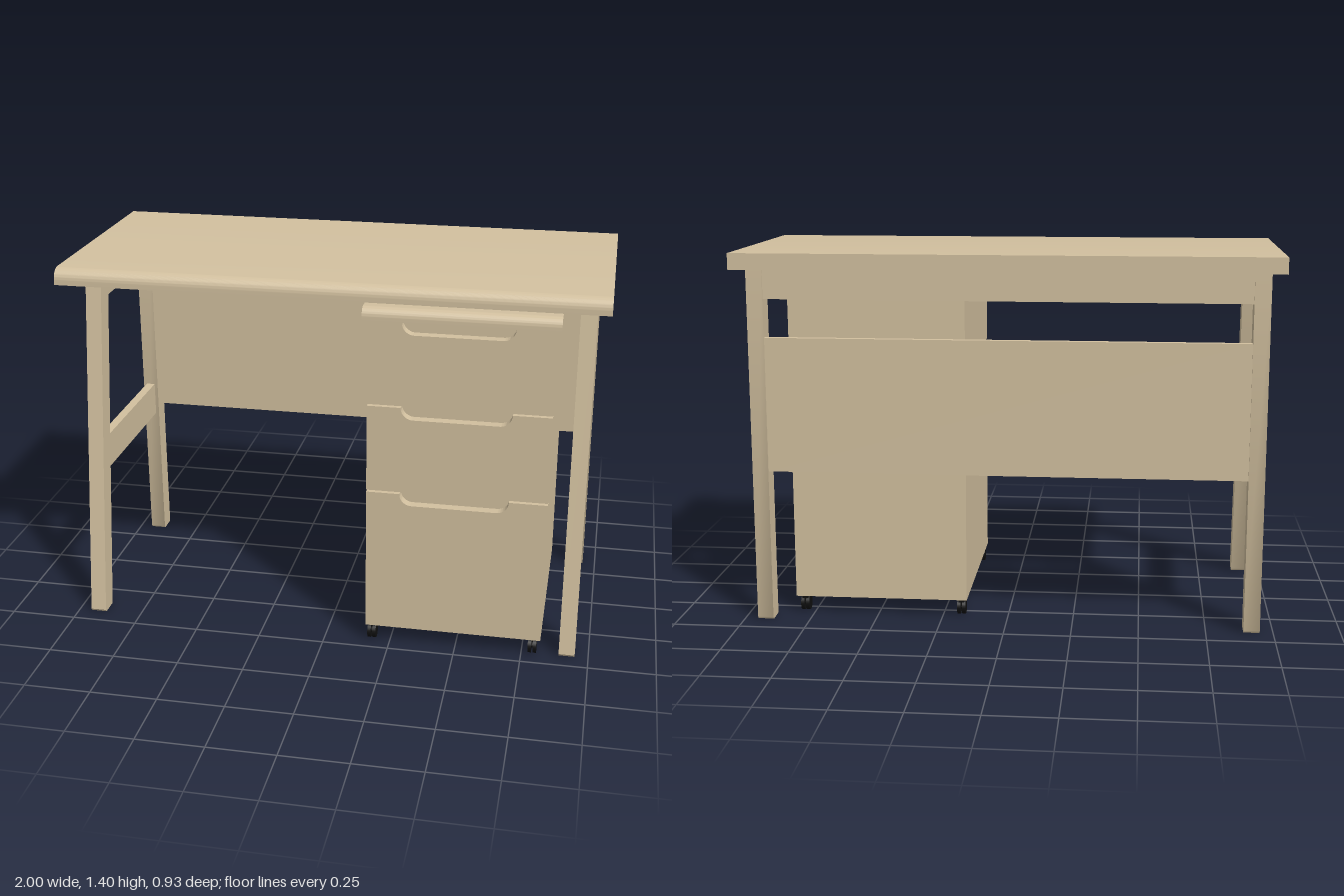
import * as THREE from 'three';
import { toCreasedNormals } from 'three/addons/utils/BufferGeometryUtils.js';

export function createModel() {
  const wood = new THREE.MeshStandardMaterial({ name: 'light oak', color: 0xd2c09f });
  const black = new THREE.MeshStandardMaterial({ name: 'caster black', color: 0x101010 });
  const model = new THREE.Group();
  model.name = 'deskWithDrawers';

  const add = (parent, name, geometry, material = wood) => {
    const mesh = new THREE.Mesh(geometry, material);
    mesh.name = name;
    parent.add(mesh);
    return mesh;
  };

  // Box given by its limits
  const box = (parent, name, x0, x1, y0, y1, z0, z1) =>
    add(parent, name, new THREE.BoxGeometry(x1 - x0, y1 - y0, z1 - z0))
      .position.set((x0 + x1) / 2, (y0 + y1) / 2, (z0 + z1) / 2);

  // Side profile in (z, y), extruded across x
  const acrossX = (shape, x0, x1) => {
    const g = new THREE.ExtrudeGeometry(shape, { depth: x1 - x0, bevelEnabled: false, curveSegments: 10 });
    g.rotateY(-Math.PI / 2).translate(x1, 0, 0);
    return toCreasedNormals(g, 0.6);
  };

  // Board with a rounded upper front edge
  const board = (y0, y1, back, front, r) => {
    const s = new THREE.Shape();
    s.moveTo(back, y0);
    s.lineTo(front, y0);
    s.lineTo(front, y1 - r);
    s.absarc(front - r, y1 - r, r, 0, Math.PI / 2, false);
    s.lineTo(back, y1);
    s.closePath();
    return s;
  };

  const polygon = (points) => new THREE.Shape(points.map(([z, y]) => new THREE.Vector2(z, y)));

  // Desktop
  add(model, 'desktop', acrossX(board(1.34, 1.4, -0.465, 0.435, 0.042), -1, 1));

  // Trestle at each end: upright back leg, slanted front leg, two rails
  for (const side of [-1, 1]) {
    const frame = new THREE.Group();
    frame.name = side > 0 ? 'leftFrame' : 'rightFrame';
    model.add(frame);
    const span = (a, b) => (side > 0 ? [a, b] : [-b, -a]);
    const [l0, l1] = span(0.89, 0.95);
    const [r0, r1] = span(0.903, 0.937);
    const backLeg = polygon([[-0.405, 0], [-0.341, 0], [-0.335, 0.009], [-0.335, 1.34], [-0.411, 1.34], [-0.411, 0.009]]);
    const frontLeg = polygon([[0.364, 0], [0.43, 0], [0.436, 0.009], [0.25, 1.34], [0.17, 1.34], [0.358, 0.009]]);
    add(frame, 'backLeg', acrossX(backLeg, l0, l1));
    add(frame, 'frontLeg', acrossX(frontLeg, l0, l1));
    box(frame, 'lowerSideRail', r0, r1, 0.55, 0.682, -0.34, 0.29);
    box(frame, 'upperSideRail', r0, r1, 1.226, 1.34, -0.34, 0.2);
  }

  // Back apron and modesty panel
  box(model, 'backApron', -0.89, 0.89, 1.228, 1.34, -0.405, -0.378);
  box(model, 'modestyPanel', -0.89, 0.89, 0.58, 1.085, -0.405, -0.38);

  // Drawer cabinet
  const cabinet = new THREE.Group();
  cabinet.name = 'drawerCabinet';
  model.add(cabinet);
  box(cabinet, 'cabinetBody', 0.157, 0.82, 0.065, 1.283, -0.32, 0.412);
  add(cabinet, 'cabinetTop', acrossX(board(1.283, 1.33, -0.32, 0.465, 0.032), 0.14, 0.835));

  // Drawer fronts with a rounded finger cutout in the top edge
  const drawerFront = (y0, y1) => {
    const x0 = 0.157, x1 = 0.82, a = 0.28, b = 0.68, d = 0.045;
    const s = new THREE.Shape();
    s.moveTo(x0, y0);
    s.lineTo(x1, y0);
    s.lineTo(x1, y1);
    s.lineTo(b, y1);
    s.absarc(b - d, y1, d, 0, -Math.PI / 2, true);
    s.lineTo(a + d, y1 - d);
    s.absarc(a + d, y1, d, -Math.PI / 2, -Math.PI, true);
    s.lineTo(x0, y1);
    s.closePath();
    const g = new THREE.ExtrudeGeometry(s, { depth: 0.037, bevelEnabled: false, curveSegments: 8 });
    return toCreasedNormals(g.translate(0, 0, 0.413), 0.6);
  };
  [[0.065, 0.622], [0.63, 0.96], [0.967, 1.279]].forEach(([y0, y1], i) =>
    add(cabinet, 'drawerFront' + (i + 1), drawerFront(y0, y1)));

  // Twin-wheel casters
  for (const x of [0.18, 0.79]) {
    for (const z of [-0.28, 0.42]) {
      const caster = new THREE.Group();
      caster.name = 'caster';
      caster.position.set(x, 0.03, z);
      cabinet.add(caster);
      for (const dx of [-0.0095, 0.0095]) {
        const wheel = new THREE.CylinderGeometry(0.03, 0.03, 0.013, 24).rotateZ(Math.PI / 2);
        add(caster, 'wheel', wheel, black).position.x = dx;
      }
      add(caster, 'axle', new THREE.CylinderGeometry(0.012, 0.012, 0.02, 12).rotateZ(Math.PI / 2), black);
      add(caster, 'stem', new THREE.BoxGeometry(0.022, 0.03, 0.016), black).position.set(0, 0.021, -0.014);
    }
  }

  return model;
}
